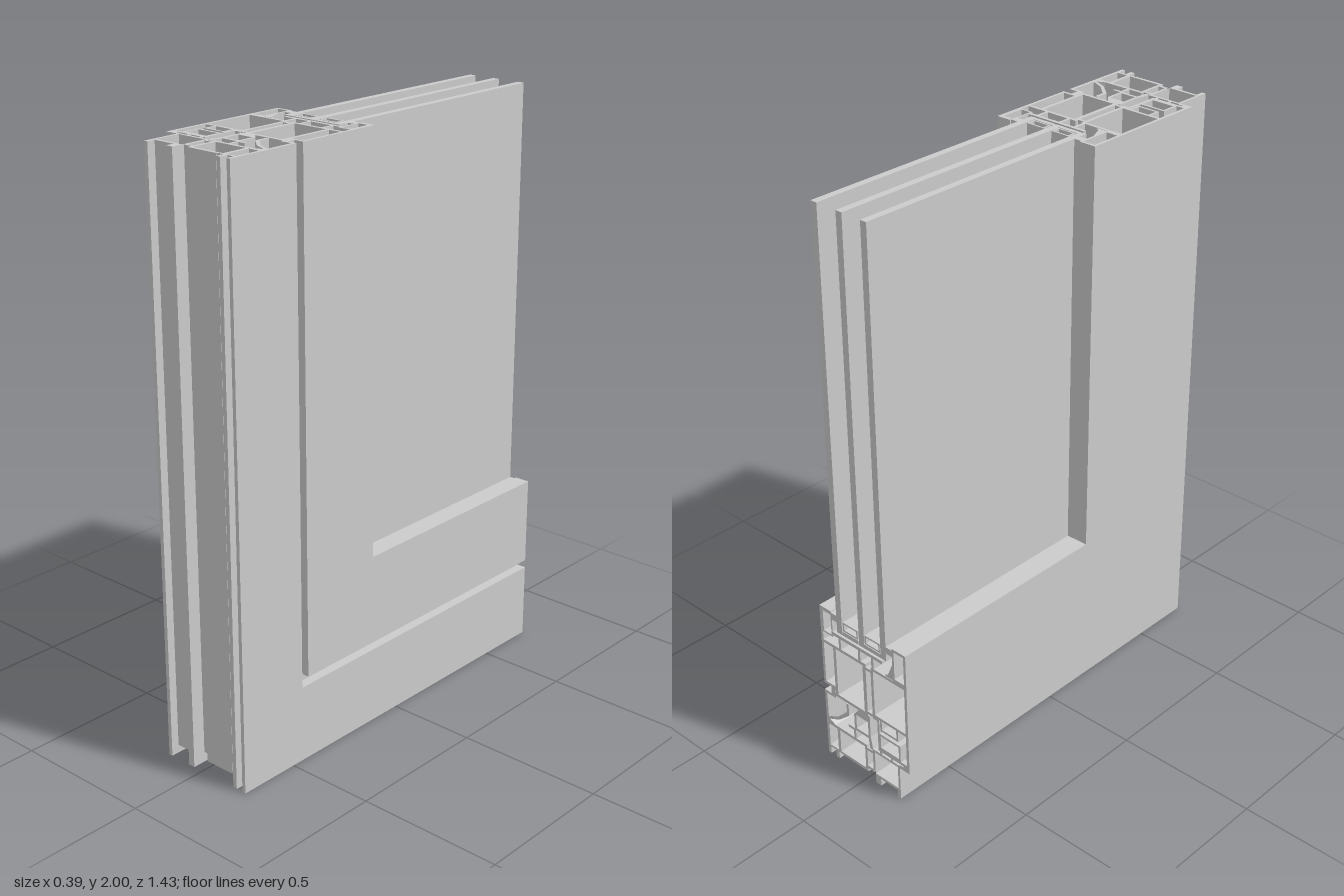
import * as THREE from 'three';

const H = 0.717;  // half depth of the corner piece
const TOP = 2;    // height of the cut upright
const material = new THREE.MeshStandardMaterial({ color: 0xcccccc });

const rect = (x0, x1, d0, d1) => [[x0, d0], [x1, d0], [x1, d1], [x0, d1]];

// Sweeps a section (x, distance from the outer edge) down the upright,
// round the mitred corner and along the bottom rail.
function mitredProfile(outline, holes = []) {
  const wind = (pts, clockwise) => {
    const v = pts.map(([x, d]) => new THREE.Vector2(x, d));
    return THREE.ShapeUtils.isClockWise(v) === clockwise ? v : v.reverse();
  };
  const outer = wind(outline, false);
  const inner = holes.map((h) => wind(h, true));
  const stations = [
    (p) => [p.x, TOP, H - p.y],
    (p) => [p.x, p.y, H - p.y],
    (p) => [p.x, p.y, -H],
  ];
  const pos = [];
  const tri = (a, b, c) => pos.push(...a, ...b, ...c);
  for (const loop of [outer, ...inner]) {
    loop.forEach((p, i) => {
      const q = loop[(i + 1) % loop.length];
      for (let s = 0; s < 2; s++) {
        const [a, b] = [stations[s], stations[s + 1]];
        tri(b(p), b(q), a(q));
        tri(b(p), a(q), a(p));
      }
    });
  }
  // Cut ends
  const all = [outer, ...inner].flat();
  for (const [i, j, k] of THREE.ShapeUtils.triangulateShape(outer, inner)) {
    tri(stations[0](all[i]), stations[0](all[j]), stations[0](all[k]));
    tri(stations[2](all[k]), stations[2](all[j]), stations[2](all[i]));
  }
  const g = new THREE.BufferGeometry();
  g.setAttribute('position', new THREE.Float32BufferAttribute(pos, 3));
  g.computeVertexNormals();
  return g;
}

export function createModel() {
  const model = new THREE.Group();
  const add = (parent, name, geometry) => {
    const mesh = new THREE.Mesh(geometry, material);
    mesh.name = name;
    parent.add(mesh);
    return mesh;
  };
  const group = (name) => {
    const g = new THREE.Group();
    g.name = name;
    model.add(g);
    return g;
  };
  const profile = (parent, name, outline, holes) => add(parent, name, mitredProfile(outline, holes));
  const bars = (parent, name, list) => list.forEach((r) => profile(parent, name, rect(...r)));
  const tube = (parent, name, x0, x1, d0, d1, t = 0.008) =>
    profile(parent, name, rect(x0, x1, d0, d1), [rect(x0 + t, x1 - t, d0 + t, d1 - t)]);

  // Fixed outer frame: two chambers, feet and the exterior upright wall
  const frame = group('outerFrame');
  profile(frame, 'innerFrameChamber', [
    [-0.152, 0], [-0.138, 0], [-0.138, 0.028], [-0.06, 0.028], [-0.06, 0], [-0.036, 0],
    [-0.036, 0.05], [-0.026, 0.05], [-0.026, 0.135], [-0.152, 0.135],
  ], [rect(-0.143, -0.036, 0.038, 0.126)]);
  profile(frame, 'outerFrameChamber', [
    [0, 0.025], [0.113, 0.025], [0.113, 0.028], [0.14, 0.028], [0.14, 0], [0.155, 0],
    [0.155, 0.028], [0.18, 0.028], [0.18, 0], [0.193, 0], [0.193, 0.262], [0.14, 0.262],
    [0.14, 0.252], [0.182, 0.252], [0.182, 0.15], [0.15, 0.135], [0, 0.135],
  ], [rect(0.01, 0.13, 0.036, 0.124), rect(0.142, 0.182, 0.036, 0.124)]);
  bars(frame, 'frameThermalBreak', [
    [-0.03, 0.002, 0.04, 0.05],
    [-0.03, 0.002, 0.115, 0.125],
  ]);
  profile(frame, 'slopedRebateWall', [
    [0.182, 0.145], [0.182, 0.156], [0.135, 0.178], [0.09, 0.22], [0.09, 0.258],
    [0.08, 0.258], [0.08, 0.212], [0.13, 0.168],
  ]);
  bars(frame, 'rebateLip', [
    [0.05, 0.06, 0.135, 0.175], [0.05, 0.085, 0.165, 0.175],
    [-0.12, -0.112, 0.135, 0.15], [-0.07, -0.062, 0.135, 0.15],
  ]);

  // Opening sash: interior half overlaps the frame, exterior half is set back
  const sash = group('sash');
  profile(sash, 'innerSashChamber', [
    [-0.197, 0.127], [-0.17, 0.127], [-0.17, 0.145], [-0.055, 0.145], [-0.055, 0.265],
    [-0.035, 0.265], [-0.035, 0.468], [-0.197, 0.468],
  ], [rect(-0.186, -0.046, 0.284, 0.458), rect(-0.186, -0.064, 0.155, 0.274)]);
  profile(sash, 'outerSashChamber', [
    [-0.012, 0.262], [0.139, 0.262], [0.139, 0.29], [0.193, 0.29], [0.193, 0.598],
    [0.14, 0.598], [0.14, 0.588], [0.183, 0.588], [0.183, 0.468], [-0.012, 0.468],
  ], [rect(0.002, 0.127, 0.273, 0.457), rect(0.139, 0.183, 0.3, 0.457)]);
  tube(sash, 'hardwareChannel', -0.15, -0.068, 0.232, 0.282);
  tube(sash, 'lockingRail', -0.158, -0.06, 0.155, 0.218);
  bars(sash, 'sashThermalBreak', [
    [-0.037, -0.01, 0.27, 0.28],
    [-0.037, -0.01, 0.446, 0.456],
  ]);

  // Glazing beads
  profile(sash, 'innerGlazingBead', rect(-0.197, -0.137, 0.468, 0.592),
    [rect(-0.187, -0.145, 0.478, 0.582)]);
  profile(sash, 'beadClip', [
    [-0.14, 0.47], [-0.105, 0.47], [-0.105, 0.478], [-0.115, 0.48], [-0.137, 0.53], [-0.14, 0.53],
  ]);
  tube(sash, 'outerGlazingBead', 0.136, 0.184, 0.5, 0.59, 0.006);
  bars(sash, 'glazingSupport', [
    [-0.09, 0.14, 0.508, 0.52], [-0.05, -0.04, 0.466, 0.51],
    [0.01, 0.02, 0.466, 0.51], [0.1, 0.11, 0.466, 0.51],
  ]);

  // Rubber seals
  const seals = group('seals');
  bars(seals, 'glazingSeal', [
    [-0.138, -0.11, 0.56, 0.585],
    [0.113, 0.141, 0.568, 0.593],
  ]);
  bars(seals, 'rebateSeal', [
    [-0.17, -0.152, 0.127, 0.14],
    [0.14, 0.16, 0.258, 0.292],
  ]);
  profile(seals, 'centreSeal', [
    [-0.03, 0.13], [-0.015, 0.13], [-0.01, 0.17], [0.055, 0.17], [0.055, 0.235],
    [0.03, 0.264], [-0.02, 0.264], [-0.02, 0.18],
  ], [rect(-0.01, 0.045, 0.18, 0.235)]);

  // Triple glazing with edge spacers
  const glazing = group('glazing');
  const glassEdge = 0.53;
  for (const x of [-0.098, 0, 0.102]) {
    const pane = add(glazing, 'glassPane', new THREE.BoxGeometry(0.024, TOP - glassEdge, 2 * H - glassEdge));
    pane.position.set(x, (TOP + glassEdge) / 2, -glassEdge / 2);
  }
  for (const x of [-0.049, 0.051]) {
    tube(glazing, 'paneSpacer', x - 0.034, x + 0.034, 0.548, 0.582, 0.006);
    bars(glazing, 'edgeSealant', [[x - 0.037, x + 0.037, 0.53, 0.545]]);
  }

  return model;
}
